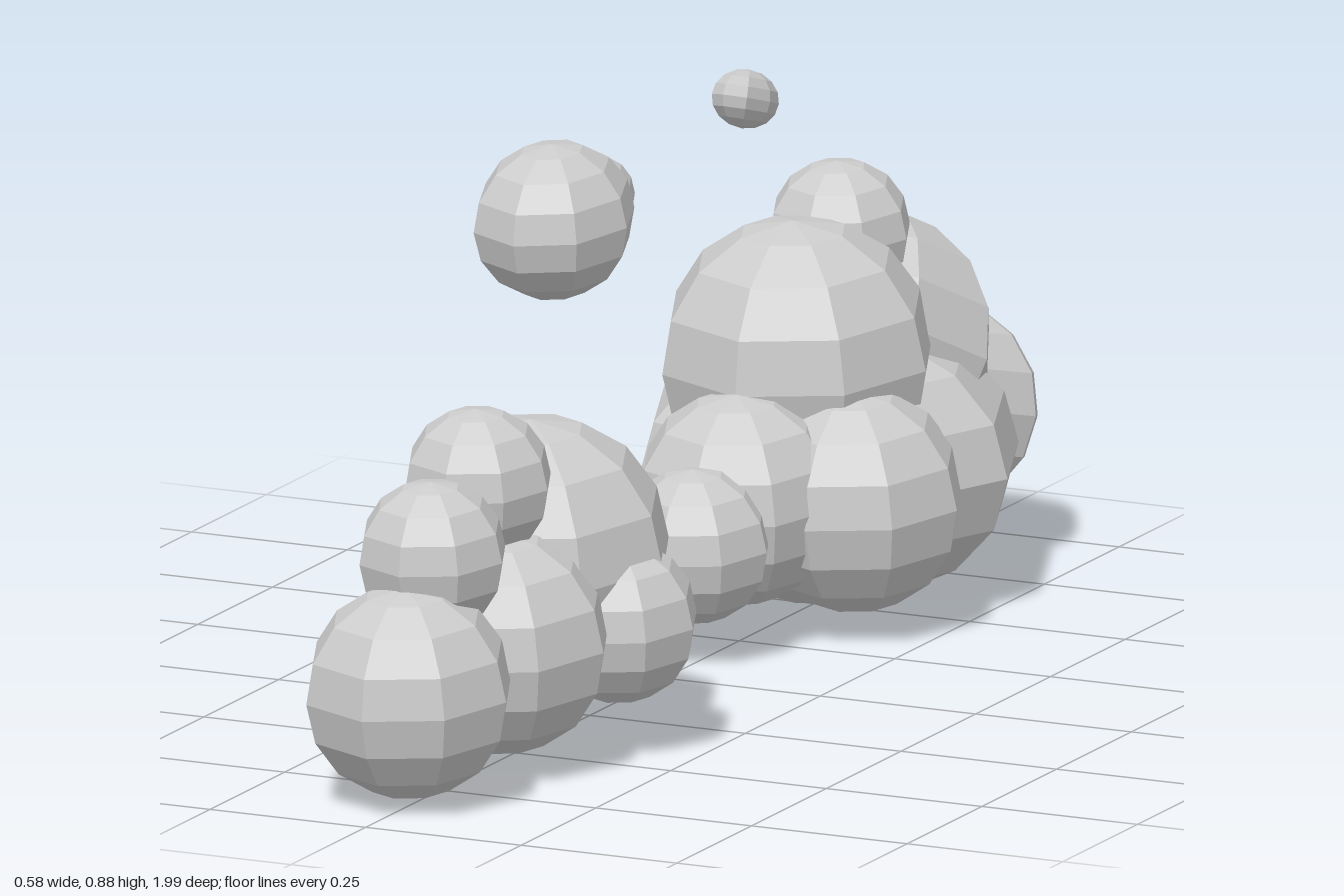
import * as THREE from 'three';

// Low-poly puff clouds: every puff is an eight-sided, eight-banded ellipsoid.
export function createModel() {
  const root = new THREE.Group();
  root.name = 'clouds';
  const material = new THREE.MeshStandardMaterial({ color: 0xcccccc, flatShading: true });
  const ball = new THREE.SphereGeometry(1, 8, 8);
  const mid = -0.007;

  // Each puff: name, centre, radius (number or [x, y, z]), tilt about x
  function cloud(name, puffs) {
    const group = new THREE.Group();
    group.name = name;
    for (const [label, centre, radius, tilt = 0.07] of puffs) {
      const mesh = new THREE.Mesh(ball, material);
      mesh.name = label;
      mesh.position.set(...centre);
      if (Array.isArray(radius)) mesh.scale.set(...radius);
      else mesh.scale.setScalar(radius);
      mesh.rotation.x = tilt;
      group.add(mesh);
    }
    root.add(group);
  }

  cloud('frontCloud', [
    ['nosePuff', [mid, 0.17, 0.842], 0.157],
    ['lowerCrownPuff', [mid, 0.355, 0.762], 0.112],
    ['upperCrownPuff', [mid, 0.43, 0.61], 0.112],
    ['mainPuff', [mid, 0.28, 0.42], 0.206],
    ['middlePuff', [0.03, 0.197, 0.61], 0.165],
    ['sidePuff', [0.13, 0.197, 0.425], 0.12],
  ]);

  cloud('backCloud', [
    ['tipPuff', [mid, 0.175, -0.117], 0.115],
    ['neckPuff', [mid, 0.213, -0.265], 0.157],
    ['sidePuff', [0.125, 0.2, -0.375], 0.165],
    ['basePuff', [0, 0.208, -0.55], [0.287, 0.205, 0.3], 0],
    ['mainPuff', [mid, 0.38, -0.458], 0.207],
    ['crownPuff', [mid, 0.535, -0.6], 0.108],
    ['shoulderPuff', [mid, 0.35, -0.67], 0.203, -0.5],
    ['tailPuff', [0.02, 0.23, -0.83], [0.178, 0.16, 0.168], -0.25],
  ]);

  cloud('floatingCloud', [
    ['largePuff', [mid, 0.765, 0.355], [0.117, 0.115, 0.137]],
    ['smallPuff', [mid, 0.768, 0.226], 0.065],
  ]);

  cloud('wisp', [
    ['wispPuff', [mid, 0.803, -0.285], [0.04, 0.043, 0.079], -0.3],
  ]);

  return root;
}
